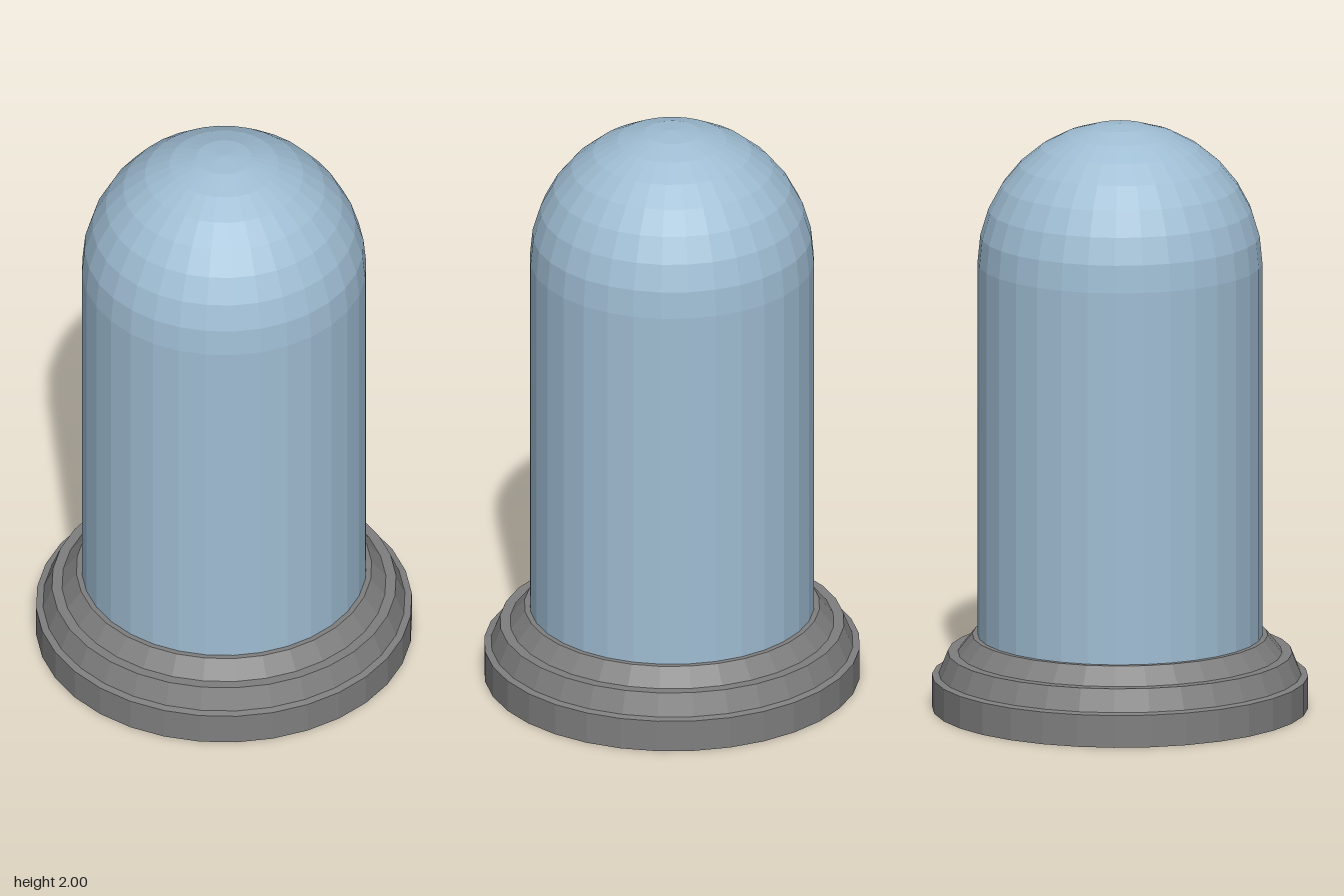
import * as THREE from 'three';

const SIDES = 32;

// Faceted solid of revolution from [radius, height] pairs, bottom to top
function turned(name, profile, color) {
  const points = profile.map(([r, y]) => new THREE.Vector2(r, y));
  const material = new THREE.MeshStandardMaterial({ color, flatShading: true });
  const mesh = new THREE.Mesh(new THREE.LatheGeometry(points, SIDES), material);
  mesh.name = name;
  return mesh;
}

export function createModel() {
  const group = new THREE.Group();
  group.name = 'domedJar';

  // Stepped plinth, closed underneath and on top
  group.add(turned('base', [
    [0, 0], [0.63, 0], [0.63, 0.11], [0.607, 0.115], [0.577, 0.19],
    [0.543, 0.19], [0.495, 0.25], [0, 0.25],
  ], 0x7f7f7f));

  // Straight wall rising into a hemispherical cap
  const radius = 0.477, rings = 8, centre = 2 - radius;
  const wall = [[radius, 0.25]];
  for (let i = 0; i <= rings; i++) {
    const a = (i / rings) * Math.PI / 2;
    wall.push([i === rings ? 0 : radius * Math.cos(a), centre + radius * Math.sin(a)]);
  }
  group.add(turned('glassDome', wall, 0x9fbdd3));

  return group;
}
